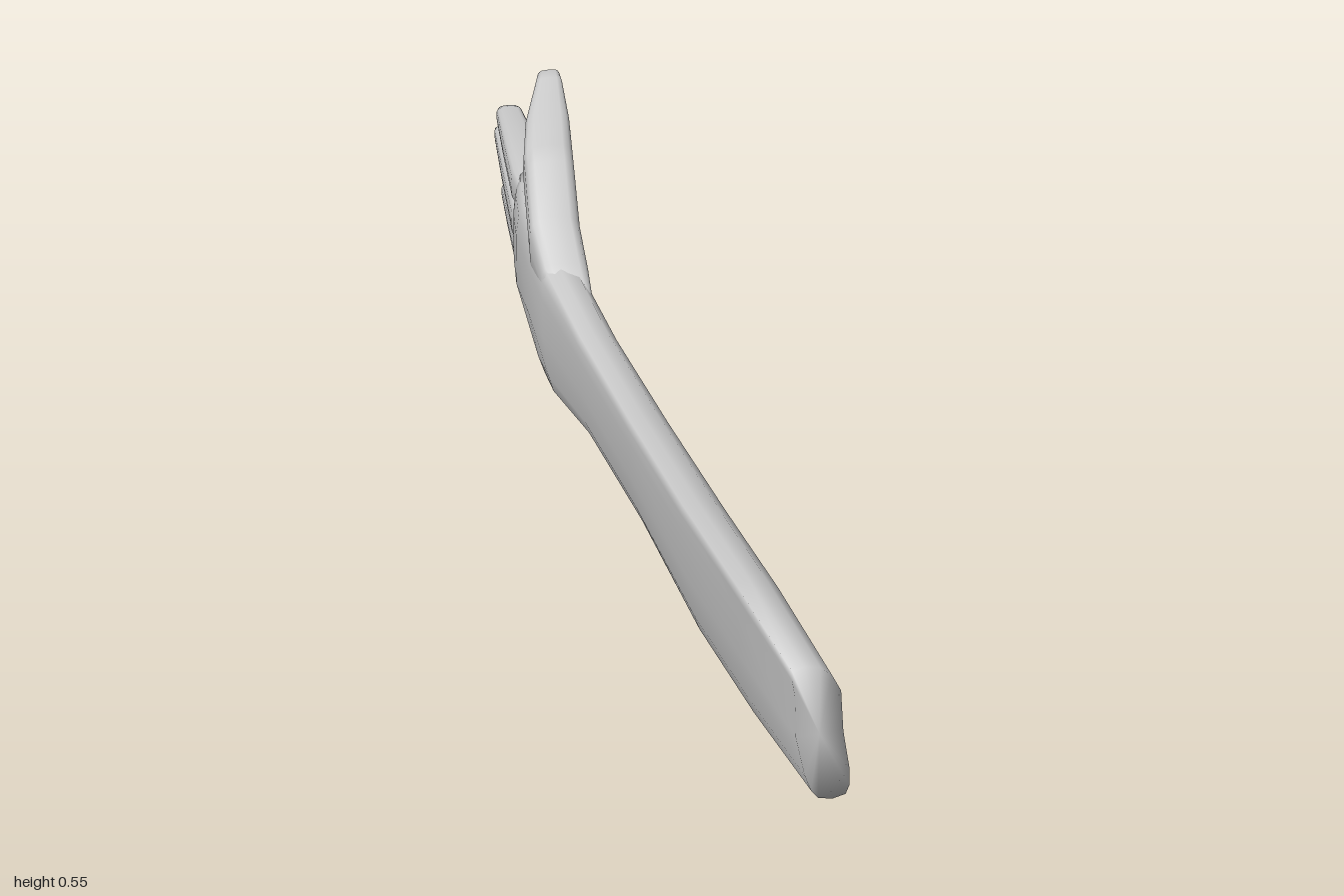
import * as THREE from 'three';

const SIDES = 16;
const skin = new THREE.MeshStandardMaterial({ color: 0xcccccc });
skin.name = 'plain grey';

// Rounded power curve that squares off a circle
const squash = (t) => Math.sign(t) * Math.pow(Math.abs(t), 0.55);

// Closed smooth loft through rings [z, top y, bottom y, centre x, half width, lean of lower half, lean of upper rim]
function loft(name, rings) {
  const pos = [], index = [];
  for (const [z, top, bottom, cx, w, low = 0, high = 0] of rings) {
    for (let j = 0; j < SIDES; j++) {
      const a = (j / SIDES) * Math.PI * 2;
      const u = squash(Math.cos(a)), v = squash(Math.sin(a));
      const lean = v < 0 ? -low * v : -high * v ** 3;
      pos.push(cx + w * u + lean, (top + bottom) / 2 + ((top - bottom) / 2) * v, z);
    }
  }
  for (let r = 0; r < rings.length - 1; r++) {
    for (let j = 0; j < SIDES; j++) {
      const k = (j + 1) % SIDES;
      const a = r * SIDES + j, b = a + SIDES, c = r * SIDES + k, d = c + SIDES;
      index.push(a, b, c, c, b, d);
    }
  }
  // End caps share the ring vertices so the rim stays soft
  for (const r of [0, rings.length - 1]) {
    const [z, top, bottom, cx] = rings[r];
    const centre = pos.length / 3;
    pos.push(cx, (top + bottom) / 2, z);
    for (let j = 0; j < SIDES; j++) {
      const a = r * SIDES + j, b = r * SIDES + ((j + 1) % SIDES);
      if (r === 0) index.push(centre, a, b);
      else index.push(centre, b, a);
    }
  }
  const geo = new THREE.BufferGeometry();
  geo.setAttribute('position', new THREE.Float32BufferAttribute(pos, 3));
  geo.setIndex(index);
  geo.computeVertexNormals();
  const mesh = new THREE.Mesh(geo, skin);
  mesh.name = name;
  return mesh;
}

// Finger rising out of the palm and tapering to a blunt tip; root and tip are [top, bottom, centre x, half width]
function finger(name, length, root, tip) {
  const at = (t) => root.map((v, i) => v + (tip[i] - v) * t);
  const end = -0.6 - length;
  const [top, bottom, cx, w] = tip;
  const [rootTop, rootBottom, rootX, rootW] = root;
  return loft(name, [
    [-0.44, rootTop - 0.015, rootBottom + 0.015, rootX, rootW * 0.7],
    [-0.59, ...root],
    [-0.6 - length * 0.5, ...at(0.47)],
    [end + 0.02, ...at(0.95)],
    [end, top - 0.006, bottom + 0.006, cx, w * 0.8],
  ]);
}

export function createModel() {
  const arm = new THREE.Group();
  arm.name = 'arm';

  // Forearm, wrist and palm in one skin
  arm.add(loft('forearmAndPalm', [
    [1.0, 0.362, 0.086, 0.085, 0.037, 0.027, 0.03],
    [0.8, 0.374, 0.073, 0.052, 0.042, 0.025, 0.03],
    [0.58, 0.367, 0.071, 0.017, 0.044, 0.024, 0.026],
    [0.3, 0.346, 0.103, -0.018, 0.044, 0.018, 0.02],
    [0.02, 0.342, 0.102, -0.054, 0.044, 0.013, 0.016],
    [-0.16, 0.373, 0.076, -0.086, 0.047, 0.012, 0.01],
    [-0.27, 0.385, 0.043, -0.092, 0.05, 0.024],
    [-0.42, 0.38, 0.003, -0.092, 0.05, 0.042],
    [-0.52, 0.37, 0.01, -0.085, 0.046, 0.04],
    [-0.6, 0.36, 0.022, -0.08, 0.034, 0.034],
  ]));

  // Thumb rising from the upper edge of the palm
  arm.add(loft('thumb', [
    [-0.1, 0.345, 0.3, -0.076, 0.03],
    [-0.17, 0.378, 0.3, -0.086, 0.045],
    [-0.26, 0.428, 0.3, -0.089, 0.05],
    [-0.37, 0.49, 0.35, -0.078, 0.05],
    [-0.41, 0.503, 0.395, -0.074, 0.05],
    [-0.5, 0.525, 0.442, -0.059, 0.045],
    [-0.6, 0.55, 0.497, -0.038, 0.028],
    [-0.625, 0.555, 0.508, -0.034, 0.023],
    [-0.637, 0.545, 0.52, -0.034, 0.017],
  ]));

  // Four fingers
  arm.add(finger('indexFinger', 0.305, [0.361, 0.277, -0.08, 0.042], [0.346, 0.305, -0.077, 0.027]));
  arm.add(finger('middleFinger', 0.4, [0.276, 0.194, -0.082, 0.042], [0.247, 0.216, -0.08, 0.016]));
  arm.add(finger('ringFinger', 0.305, [0.194, 0.116, -0.077, 0.041], [0.156, 0.124, -0.075, 0.024]));
  arm.add(finger('littleFinger', 0.185, [0.114, 0.02, -0.058, 0.04], [0.09, 0.054, -0.042, 0.022]));

  return arm;
}
